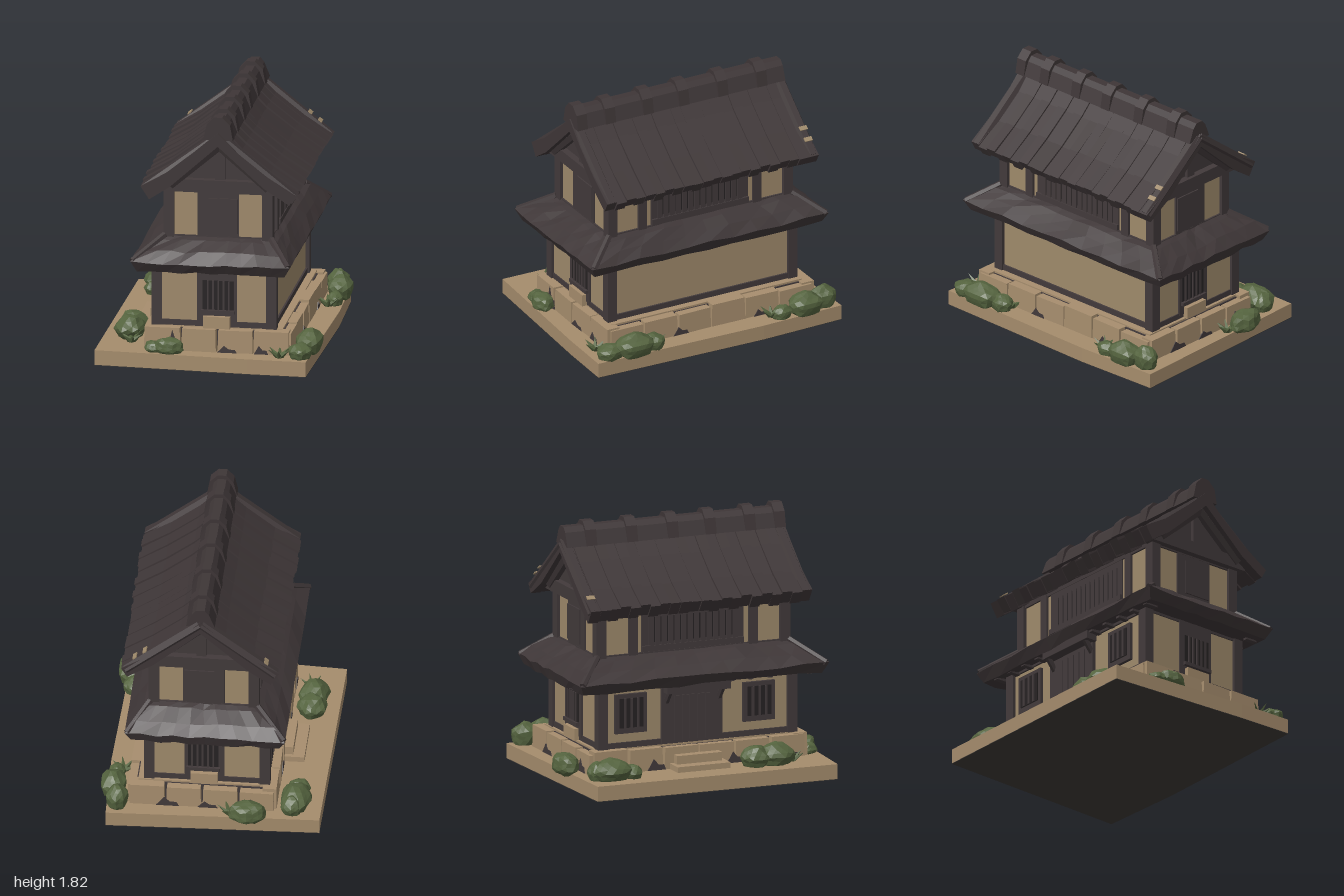
import * as THREE from 'three';

export function createModel() {
  const model = new THREE.Group();
  const mat = (name, color) => {
    const m = new THREE.MeshStandardMaterial({ color, flatShading: true });
    m.name = name;
    return m;
  };
  const earth = mat('earth', 0xa58c6c), plaster = mat('plaster', 0x9f8a6b), stone = mat('stone', 0xa78e6e);
  const wood = mat('darkWood', 0x423a3b), tile = mat('roofTile', 0x3e3637), shade = mat('darkOpening', 0x262223);
  const leaf = mat('leaf', 0x55643f), base = mat('underside', 0x3d3936);

  let seed = 7;
  const rnd = () => ((seed = (seed * 16807) % 2147483647) / 2147483647);
  const jit = (a) => (rnd() - 0.5) * 2 * a;

  const add = (name, geo, m) => {
    const mesh = new THREE.Mesh(geo, m);
    mesh.name = name;
    model.add(mesh);
    return mesh;
  };
  const box = (name, m, x0, x1, y0, y1, z0, z1) => {
    const mesh = add(name, new THREE.BoxGeometry(x1 - x0, y1 - y0, z1 - z0), m);
    mesh.position.set((x0 + x1) / 2, (y0 + y1) / 2, (z0 + z1) / 2);
    return mesh;
  };
  const extrude = (pts, depth) => new THREE.ExtrudeGeometry(
    new THREE.Shape(pts.map(([x, y]) => new THREE.Vector2(x, y))), { depth, bevelEnabled: false });
  const beam = (name, m, a, b, r) => {
    const va = new THREE.Vector3(...a), vb = new THREE.Vector3(...b);
    const mesh = add(name, new THREE.CylinderGeometry(r, r, va.distanceTo(vb), 6), m);
    mesh.position.copy(va).lerp(vb, 0.5);
    mesh.quaternion.setFromUnitVectors(new THREE.Vector3(0, 1, 0), vb.sub(va).normalize());
  };

  // Ground slab, slightly irregular in plan, with a dark underside
  const plan = [[-0.79, -0.93], [0.3, -0.99], [0.71, -1], [0.74, 0.3], [0.72, 0.93], [-0.77, 0.88]];
  add('groundSlab', extrude(plan, 0.106).rotateX(-Math.PI / 2), earth).position.y = 0.004;
  add('slabUnderside', extrude(plan, 0.004).rotateX(-Math.PI / 2), base);

  // Plinth: dark core with a ring of uneven stone blocks
  box('plinthCore', wood, -0.41, 0.52, 0.1, 0.262, -0.74, 0.79);
  box('plinthTop', stone, -0.4, 0.51, 0.25, 0.275, -0.73, 0.78);
  const stones = (n, from, to, place) => {
    const w = (to - from) / n;
    for (let i = 0; i < n; i++) {
      const h = 0.155 + jit(0.013), len = w - 0.002 - rnd() * 0.012;
      const g = new THREE.CylinderGeometry(0.68, 0.7071, 1, 4).rotateY(Math.PI / 4);
      const m = add('plinthStone', g, stone);
      place(m, from + (i + 0.5) * w, len, h);
      m.position.y = 0.11 + h / 2;
      m.rotation.y = jit(0.03);
    }
  };
  for (const z of [-0.75, 0.8])
    stones(4, -0.45, 0.57, (m, c, l, h) => { m.position.set(c, 0, z); m.scale.set(l, h, 0.1); });
  for (const x of [-0.41, 0.53])
    stones(6, -0.78, 0.83, (m, c, l, h) => { m.position.set(x, 0, c); m.scale.set(0.1, h, l); });

  // Dark ragged hollows along the foot of the plinth
  const hollow = (w, h) => extrude([[-w, 0], [w, 0], [w * 0.8, h * 0.45], [w * 0.2, h * 0.5], [-w * 0.3, h], [-w * 0.7, h * 0.4]], 0.008);
  const hollows = [
    [0.13, 0.85, 0, 0.07, 0.05], [0.37, 0.85, 0, 0.05, 0.06], [-0.24, 0.85, 0, 0.05, 0.15],
    [0.3, -0.8, Math.PI, 0.08, 0.07], [0.02, -0.8, Math.PI, 0.07, 0.05], [-0.3, -0.8, Math.PI, 0.06, 0.09],
    [0.58, 0.27, Math.PI / 2, 0.06, 0.06], [0.58, -0.36, Math.PI / 2, 0.05, 0.05],
    [-0.46, -0.3, -Math.PI / 2, 0.07, 0.08], [-0.46, 0.3, -Math.PI / 2, 0.07, 0.08], [-0.46, 0.72, -Math.PI / 2, 0.06, 0.07]];
  for (const [x, z, turn, w, h] of hollows) {
    const m = add('plinthHollow', hollow(w, h).translate(0, 0, -0.004), wood);
    m.position.set(x, 0.11, z);
    m.rotation.y = turn;
  }
  box('sideStep', stone, -0.6, -0.44, 0.1, 0.15, -0.2, 0.2);
  box('sideStepUpper', stone, -0.52, -0.4, 0.1, 0.21, -0.17, 0.17);

  // Plaster walls of both storeys
  box('lowerWalls', plaster, -0.385, 0.445, 0.26, 0.78, -0.7, 0.77);
  box('upperWalls', plaster, -0.305, 0.415, 0.78, 1.28, -0.675, 0.745);

  // Corner posts, sills and head beams
  const frame = (x0, x1, z0, z1, y0, y1, w, sill) => {
    for (const x of [x0, x1 - w]) for (const z of [z0, z1 - w])
      box('cornerPost', wood, x, x + w, y0, y1, z, z + w);
    for (const [ya, yb] of [[y0, y0 + sill], [y1 - 0.04, y1]]) {
      const e = 0.012;
      box('frameBeam', wood, x0 + e, x1 - e, ya, yb, z0 + e, z0 + 0.06);
      box('frameBeam', wood, x0 + e, x1 - e, ya, yb, z1 - 0.06, z1 - e);
      box('frameBeam', wood, x0 + e, x0 + 0.06, ya, yb, z0 + e, z1 - e);
      box('frameBeam', wood, x1 - 0.06, x1 - e, ya, yb, z0 + e, z1 - e);
    }
  };
  frame(-0.41, 0.47, -0.72, 0.79, 0.275, 0.74, 0.072, 0.04);
  frame(-0.33, 0.44, -0.7, 0.77, 0.88, 1.28, 0.074, 0.045);

  // Front and back: lattice window below, shutter above, gable on top
  for (const s of [1, -1]) {
    const span = (name, m, x0, x1, y0, y1, d0, d1) => {
      const a = 0.035 + s * d0, b = 0.035 + s * d1;
      return box(name, m, x0, x1, y0, y1, Math.min(a, b), Math.max(a, b));
    };
    span('windowSurround', wood, -0.09, 0.19, 0.3, 0.74, 0.72, 0.748);
    span('windowOpening', shade, -0.05, 0.165, 0.395, 0.61, 0.745, 0.752);
    for (let i = 0; i < 5; i++) span('windowBar', wood, -0.02 + i * 0.037, -0.007 + i * 0.037, 0.395, 0.61, 0.75, 0.76);
    span('windowSill', wood, -0.06, 0.175, 0.375, 0.4, 0.745, 0.772);
    span('doorBlock', stone, -0.045, 0.145, 0.27, 0.355, 0.74, 0.78);
    span('upperShutter', wood, -0.09, 0.2, 0.9, 1.28, 0.7, 0.722);
    span('shutterPanel', wood, -0.02, 0.19, 0.95, 1.2, 0.715, 0.732);
    span('tieBeam', wood, -0.36, 0.48, 1.25, 1.34, 0.68, 0.77);
    span('kingPost', wood, 0.035, 0.105, 1.32, 1.64, 0.7, 0.745);
    const g = add('gableWall', extrude([[-0.33, 1.27], [0.46, 1.27], [0.07, 1.65]], 0.04), wood);
    g.position.z = 0.035 + s * 0.7 - 0.02;
    for (const [x, y] of [[-0.28, 1.3], [0.42, 1.3]])
      beam('gableBrace', wood, [x, y, 0.035 + s * 0.76], [0.07, 1.6, 0.035 + s * 0.76], 0.04);
  }

  // Upper storey side lattices
  for (const s of [1, -1]) {
    const at = (name, m, d0, d1, y0, y1, z0, z1) => {
      const a = 0.055 + s * d0, b = 0.055 + s * d1;
      return box(name, m, Math.min(a, b), Math.max(a, b), y0, y1, z0, z1);
    };
    at('latticePanel', wood, 0.35, 0.37, 0.9, 1.26, -0.35, 0.42);
    at('latticeOpening', shade, 0.368, 0.373, 0.99, 1.17, -0.3, 0.37);
    for (let i = 0; i < 14; i++) {
      const z = -0.3 + i * 0.049;
      at('latticeBar', wood, 0.37, 0.38, 0.97, 1.19, z, z + 0.038);
    }
    at('latticeRail', wood, 0.36, 0.385, 0.93, 0.97, -0.35, 0.42);
    for (const z of [-0.45, 0.46]) at('sidePost', wood, 0.35, 0.38, 0.9, 1.26, z, z + 0.065);
  }

  // Lower entrance side: boarded door between two barred windows
  box('sideDoorFrame', wood, -0.415, -0.38, 0.28, 0.74, -0.24, 0.22);
  for (let i = 0; i < 5; i++) box('doorBoard', wood, -0.424, -0.41, 0.3, 0.62, -0.15 + i * 0.06, -0.1 + i * 0.06);
  box('doorCanopy', wood, -0.49, -0.4, 0.65, 0.73, -0.23, 0.25);
  for (const z of [-0.2, 0.2]) beam('canopyBracket', wood, [-0.4, 0.58, z], [-0.47, 0.67, z], 0.022);
  for (const z of [-0.47, 0.5]) {
    box('sideWindowFrame', wood, -0.408, -0.38, 0.38, 0.66, z - 0.12, z + 0.12);
    box('sideWindowOpening', shade, -0.413, -0.405, 0.42, 0.63, z - 0.09, z + 0.09);
    for (let i = -1; i <= 1; i++) box('sideWindowBar', wood, -0.42, -0.41, 0.42, 0.63, z + i * 0.05 - 0.009, z + i * 0.05 + 0.009);
  }

  // Skirt roof: rectangular rings joined from underside to wall
  const rings = [[-0.38, 0.44, -0.69, 0.76, 0.72], [-0.49, 0.55, -0.87, 0.94, 0.7], [-0.53, 0.59, -0.9, 0.98, 0.775],
    [-0.45, 0.53, -0.83, 0.9, 0.84], [-0.36, 0.47, -0.73, 0.8, 0.9], [-0.3, 0.41, -0.67, 0.74, 0.925]];
  const pos = [], idx = [], N = 40;
  rings.forEach(([x0, x1, z0, z1, y], r) => {
    const c = [[x0, z1], [x1, z1], [x1, z0], [x0, z0]];
    for (let k = 0; k < N; k++) {
      const i = Math.floor(k / 10), t = (k % 10) / 10, a = c[i], b = c[(i + 1) % 4];
      const wob = r > 0 && r < 5 ? jit(0.01) : 0;
      pos.push(a[0] + (b[0] - a[0]) * t, y + wob, a[1] + (b[1] - a[1]) * t);
      if (r) {
        const p = (r - 1) * N, q = r * N, n = (k + 1) % N;
        idx.push(p + k, p + n, q + n, p + k, q + n, q + k);
      }
    }
  });
  const skirt = new THREE.BufferGeometry();
  skirt.setAttribute('position', new THREE.Float32BufferAttribute(pos, 3));
  skirt.setIndex(idx);
  skirt.computeVertexNormals();
  add('skirtRoof', skirt, tile);
  for (const [xa, xb] of [[-0.52, -0.32], [0.575, 0.43]]) for (const [za, zb] of [[0.96, 0.76], [-0.885, -0.69]])
    beam('hipRidge', tile, [xa, 0.775, za], [xb, 0.92, zb], 0.025);
  for (let i = 0; i < 12; i++) {
    const z = -0.78 + i * 0.147;
    box('rafter', wood, -0.47, -0.37, 0.695, 0.725, z, z + 0.035);
    box('rafter', wood, 0.44, 0.53, 0.695, 0.725, z, z + 0.035);
  }

  // Main roof: uneven strips of tiling side by side
  const profile = [[-0.42, 1.2], [-0.27, 1.3], [0.07, 1.6], [0.4, 1.31], [0.58, 1.2], [0.62, 1.265], [0.42, 1.395],
    [0.22, 1.55], [0.07, 1.7], [-0.1, 1.55], [-0.3, 1.395], [-0.48, 1.29]];
  const strips = 22, sw = 1.68 / strips;
  for (let i = 0; i < strips; i++) {
    const lift = (i % 2) * 0.008 + jit(0.006), wide = 1 + jit(0.015);
    const pts = profile.map(([x, y]) => [0.07 + (x - 0.07) * wide, y + lift + jit(0.004)]);
    add('roofStrip', extrude(pts, sw), tile).position.z = -0.805 + i * sw;
  }
  // Thick verge boards at both gable ends
  for (const z of [-0.77, 0.83]) for (const [x, y] of [[-0.45, 1.265], [0.59, 1.245]])
    beam('vergeBoard', tile, [x, y, z], [0.07, 1.66, z], 0.045);
  // Small bare patches where tiles have slipped
  for (const [x, y, tilt] of [[-0.39, 1.37, 0.66], [0.53, 1.354, -0.67], [0.46, 1.41, -0.67]])
    box('barePatch', plaster, x - 0.016, x + 0.016, y - 0.004, y + 0.004, -0.8, -0.74).rotation.z = tilt;

  // Ridge beam with raised caps
  const ridge = [[-0.03, 1.65], [0.17, 1.65], [0.13, 1.75], [0.1, 1.785], [0.04, 1.785], [0.01, 1.75]];
  add('ridge', extrude(ridge, 1.64), tile).position.z = -0.79;
  const cap = [[-0.035, 1.65], [0.175, 1.65], [0.155, 1.76], [0.1, 1.815], [0.04, 1.815], [-0.01, 1.76]];
  for (const z of [0.825, 0.6, 0.3, 0.015, -0.295, -0.605])
    add('ridgeCap', extrude(cap, 0.08), tile).position.z = z - 0.04;

  // Shrubs: lumpy balls with a few pointed leaves
  const shrub = (x, z, rx, ry, rz) => {
    const g = new THREE.IcosahedronGeometry(1, 2), p = g.attributes.position;
    for (let i = 0; i < p.count; i++) {
      const a = p.getX(i), b = p.getY(i), c = p.getZ(i);
      const k = 0.94 + 0.09 * Math.sin(a * 5 + x * 20) * Math.cos(c * 5 + z * 9) + 0.05 * Math.sin(b * 7 + x * 9);
      p.setXYZ(i, a * k, b * k, c * k);
    }
    g.computeVertexNormals();
    const m = add('shrub', g, leaf);
    m.position.set(x, 0.1 + ry * 0.75, z);
    m.scale.set(rx, ry, rz);
  };
  const tuft = (x, z) => {
    for (let i = 0; i < 6; i++) {
      const a = i * 1.05 + x * 7;
      const m = add('tuftLeaf', new THREE.ConeGeometry(0.025, 0.12, 4).translate(0, 0.05, 0), leaf);
      m.position.set(x, 0.11, z);
      m.quaternion.setFromUnitVectors(new THREE.Vector3(0, 1, 0), new THREE.Vector3(Math.cos(a), 0.8, Math.sin(a)).normalize());
    }
  };
  [[-0.27, -0.91, 0.14, 0.09, 0.09], [-0.59, -0.7, 0.11, 0.09, 0.16], [-0.57, -0.8, 0.08, 0.08, 0.07], [-0.6, -0.54, 0.08, 0.06, 0.07],
    [0.65, -0.82, 0.08, 0.1, 0.1], [0.69, -0.66, 0.095, 0.1, 0.13], [0.68, -0.48, 0.06, 0.06, 0.08],
    [-0.6, 0.54, 0.11, 0.095, 0.14], [-0.6, 0.39, 0.11, 0.09, 0.11], [-0.27, 0.9, 0.11, 0.07, 0.08], [-0.38, 0.88, 0.07, 0.05, 0.07],
    [0.69, 0.7, 0.1, 0.1, 0.15], [0.66, 0.54, 0.08, 0.07, 0.09], [0.65, 0.87, 0.09, 0.065, 0.11]]
    .forEach((s) => shrub(...s));
  [[0.51, 0.91], [0.6, 0.5], [0.64, -0.42], [-0.57, 0.68], [-0.14, -0.86]].forEach((t) => tuft(...t));

  return model;
}
